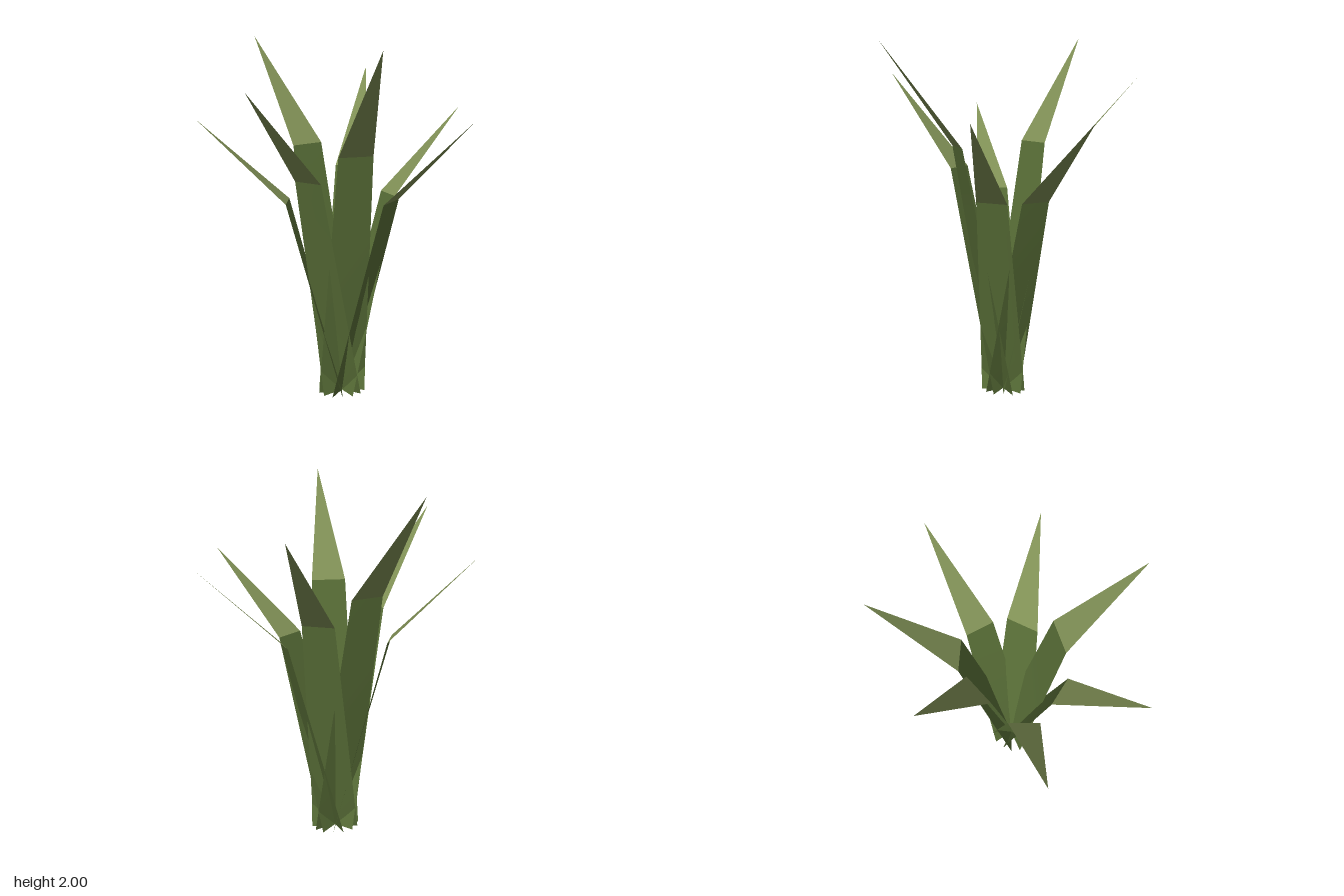
import * as THREE from 'three';

const LEAVES = 7;
const HEIGHTS = [1.6, 1.6, 2.0, 1.8, 1.6, 2.0, 1.8];
const BEND = { radius: 0.31, height: 0.708, halfWidth: 0.098, twist: 0.09 };
const TIP_RADIUS = 0.81;
const BASE_HALF_WIDTH = 0.14;
const STEPS = 6;

// Strip surface through a list of [left, right] point pairs.
function strip(rows) {
  const positions = rows.flat().flatMap((p) => p.toArray());
  const index = [];
  for (let i = 0; i < rows.length - 1; i++) {
    const a = i * 2;
    index.push(a, a + 2, a + 1, a + 1, a + 2, a + 3);
  }
  const geometry = new THREE.BufferGeometry();
  geometry.setAttribute('position', new THREE.Float32BufferAttribute(positions, 3));
  geometry.setIndex(index);
  geometry.computeVertexNormals();
  return geometry;
}

// Left and right edge points of a leaf at a given radius, height, width and twist.
function row(angle, radius, y, halfWidth, twist) {
  const across = angle + Math.PI / 2 + twist;
  return [-1, 1].map((side) => new THREE.Vector3(
    Math.cos(angle) * radius + side * Math.cos(across) * halfWidth,
    y,
    Math.sin(angle) * radius + side * Math.sin(across) * halfWidth
  ));
}

export function createModel() {
  const model = new THREE.Group();
  model.name = 'plant';
  const bladeMaterial = new THREE.MeshStandardMaterial({ color: 0x5a7038, side: THREE.DoubleSide });
  const tipMaterial = new THREE.MeshStandardMaterial({ color: 0x7f8f55, side: THREE.DoubleSide });

  const clump = new THREE.Group();
  clump.name = 'leafClump';
  for (let k = 0; k < LEAVES; k++) {
    const angle = (k * 2 * Math.PI) / LEAVES;
    const height = HEIGHTS[k];
    const leaf = new THREE.Group();
    leaf.name = 'leaf';

    // Lower blade: rises from the shared centre, narrowing and twisting slightly.
    const rows = [];
    for (let i = 0; i <= STEPS; i++) {
      const t = i / STEPS;
      const halfWidth = THREE.MathUtils.lerp(BASE_HALF_WIDTH, BEND.halfWidth, t);
      rows.push(row(angle, BEND.radius * t, BEND.height * height * t, halfWidth, BEND.twist * t));
    }
    const blade = new THREE.Mesh(strip(rows), bladeMaterial);
    blade.name = 'leafBlade';

    // Pointed tip: leans outward above the bend.
    const [left, right] = rows[STEPS];
    const point = new THREE.Vector3(Math.cos(angle) * TIP_RADIUS, height, Math.sin(angle) * TIP_RADIUS);
    const tipGeometry = new THREE.BufferGeometry().setFromPoints([left, point, right]);
    tipGeometry.computeVertexNormals();
    const tip = new THREE.Mesh(tipGeometry, tipMaterial);
    tip.name = 'leafTip';

    leaf.add(blade, tip);
    clump.add(leaf);
  }

  // The clump is slightly flattened front to back.
  clump.scale.z = 0.85;
  clump.position.x = -0.04;
  model.add(clump);
  return model;
}
